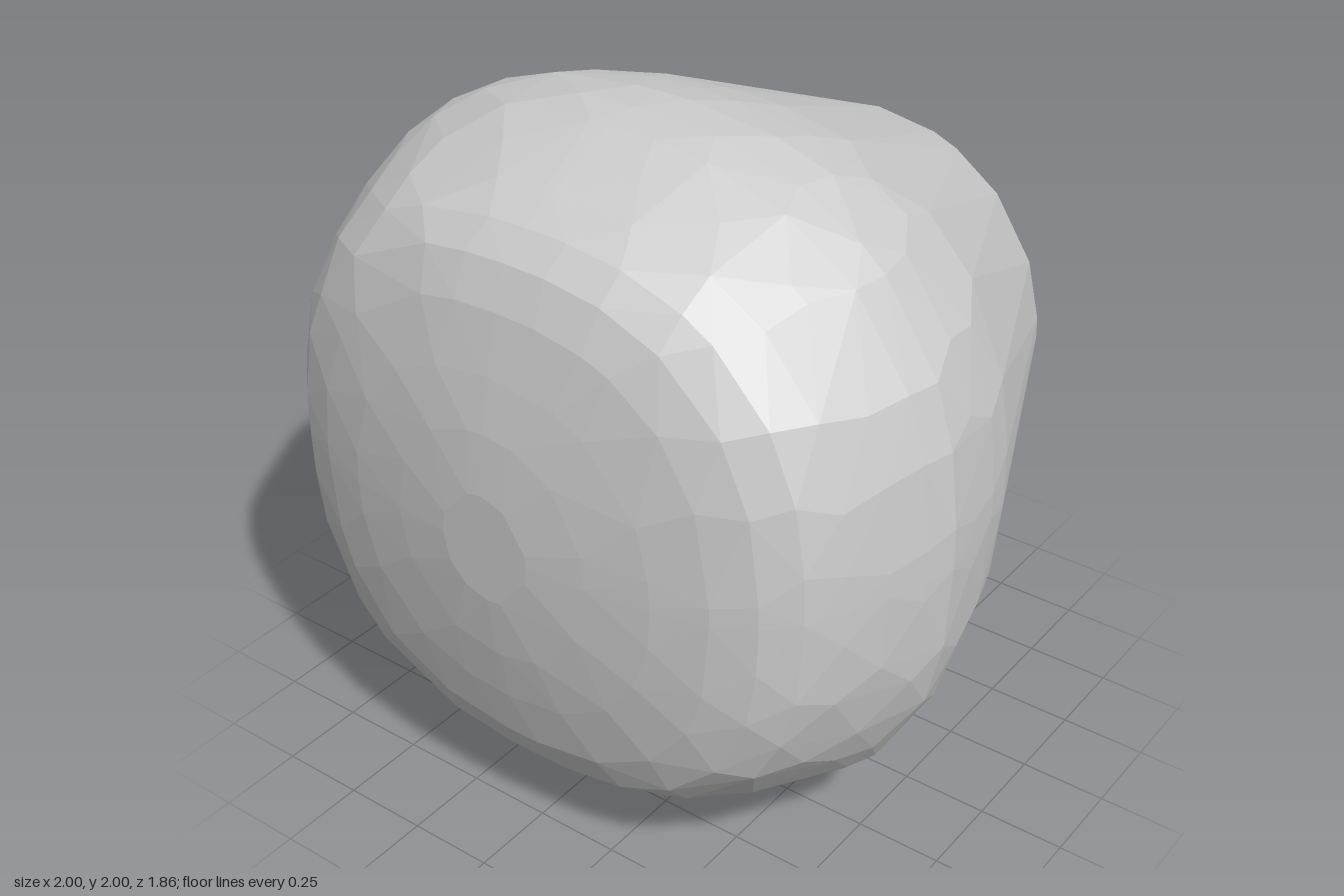
import * as THREE from 'three';
import { ConvexGeometry } from 'three/addons/geometries/ConvexGeometry.js';

// Seeded generator, for slightly irregular facets
function seeded(seed) {
  return () => {
    seed = (seed * 16807) % 2147483647;
    return seed / 2147483647;
  };
}

// Sections from back to front: z, left x, right x, bottom y, top y, squareness, corners
const SECTIONS = [
  [-0.93, -0.51, 0.53, 0.49, 1.54, 2.0, 18],
  [-0.915, -0.55, 0.57, 0.45, 1.58, 2.0, 18],
  [-0.88, -0.575, 0.6, 0.43, 1.61, 2.05, 20],
  [-0.1, -0.895, 0.93, 0.11, 1.93, 2.4, 26],
  [0.03, -0.95, 0.965, 0.05, 1.97, 2.45, 26],
  [0.16, -0.985, 0.985, 0.0, 2.0, 2.5, 28],
  [0.28, -1.0, 1.0, 0.01, 2.0, 2.5, 28],
  [0.38, -0.97, 0.98, 0.045, 1.985, 2.5, 28],
  [0.5, -0.925, 0.945, 0.1, 1.94, 2.5, 28],
  [0.62, -0.87, 0.9, 0.155, 1.895, 2.5, 26],
  [0.72, -0.82, 0.845, 0.205, 1.84, 2.5, 26],
  [0.79, -0.75, 0.76, 0.26, 1.77, 2.5, 24],
  [0.84, -0.63, 0.65, 0.36, 1.66, 2.45, 22],
  [0.88, -0.48, 0.5, 0.52, 1.5, 2.3, 18],
  [0.91, -0.3, 0.32, 0.68, 1.35, 2.2, 12],
  [0.93, -0.13, 0.15, 0.86, 1.18, 2.0, 8],
];

export function createModel() {
  const group = new THREE.Group();
  const random = seeded(4711);
  const points = [];

  SECTIONS.forEach(([z, xl, xr, yb, yt, power, count], ring) => {
    for (let i = 0; i < count; i++) {
      // Keep the four extremes exact, stagger and loosen the rest
      const extreme = i < 4;
      const a = extreme
        ? (i * Math.PI) / 2
        : ((i + (ring % 2) * 0.5 + (random() - 0.5) * 0.5) / count) * Math.PI * 2;
      const c = Math.cos(a), s = Math.sin(a);
      const r = Math.pow(Math.abs(c) ** power + Math.abs(s) ** power, -1 / power);
      const x = (xl + xr) / 2 + (r * c * (xr - xl)) / 2;
      const y = (yb + yt) / 2 + (r * s * (yt - yb)) / 2;
      points.push(new THREE.Vector3(x, y, z));
    }
    // Fill the first quarter, whose slots went to the extremes
    for (let i = 0; i < 4; i++) {
      const a = ((i + 0.25 + random() * 0.5) / count) * Math.PI * 2;
      const c = Math.cos(a), s = Math.sin(a);
      const r = Math.pow(Math.abs(c) ** power + Math.abs(s) ** power, -1 / power);
      points.push(new THREE.Vector3(
        (xl + xr) / 2 + (r * c * (xr - xl)) / 2,
        (yb + yt) / 2 + (r * s * (yt - yb)) / 2,
        z
      ));
    }
  });

  // Rounded body tapering to a flat disc at the back
  const body = new THREE.Mesh(
    new ConvexGeometry(points),
    new THREE.MeshStandardMaterial({ color: 0xcccccc, flatShading: true })
  );
  body.name = 'body';
  group.add(body);
  return group;
}
